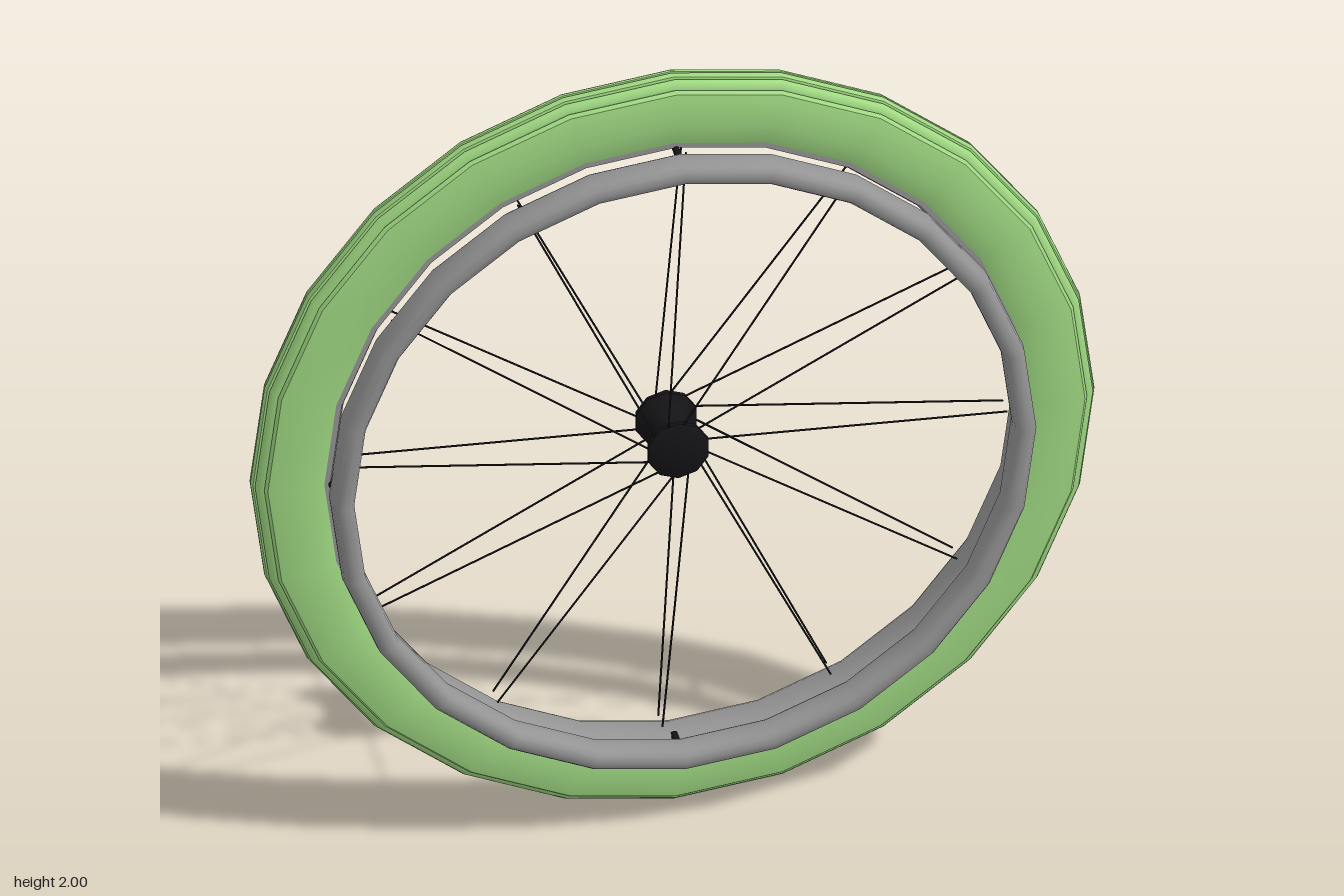
import * as THREE from 'three';
import { toCreasedNormals } from 'three/addons/utils/BufferGeometryUtils.js';

const SEGMENTS = 24;
const WHEEL_Z = -0.042; // middle plane of the tyre

const green = new THREE.MeshStandardMaterial({ color: 0x9fd882 });
const grey = new THREE.MeshStandardMaterial({ color: 0x949494 });
const black = new THREE.MeshStandardMaterial({ color: 0x141417 });

// Closed or open [radius, z] profile turned about the axle (z axis)
function turned(name, profile, material, z, segments = SEGMENTS, crease = 0.7) {
  const points = profile.map(([r, h]) => new THREE.Vector2(r, h));
  const geometry = new THREE.LatheGeometry(points, segments).rotateX(Math.PI / 2);
  const mesh = new THREE.Mesh(toCreasedNormals(geometry, crease), material);
  mesh.name = name;
  mesh.position.z = z;
  return mesh;
}

// Thin straight rod between two points
function rod(name, a, b, radius, sides) {
  const along = b.clone().sub(a);
  const mesh = new THREE.Mesh(new THREE.CylinderGeometry(radius, radius, along.length(), sides), black);
  mesh.name = name;
  mesh.position.copy(a).add(b).multiplyScalar(0.5);
  mesh.quaternion.setFromUnitVectors(new THREE.Vector3(0, 1, 0), along.normalize());
  return mesh;
}

const polar = (r, angle, z) => new THREE.Vector3(r * Math.cos(angle), r * Math.sin(angle), z);

// Tyre section: bulging walls and a rounded tread with shallow grooves
function tyreProfile() {
  const wall = [[0.828, 0.044], [0.85, 0.052], [0.885, 0.057], [0.92, 0.057], [0.95, 0.054], [0.968, 0.05]];
  const tread = [];
  const crown = (z) => 1 - 15 * z * z;
  for (let i = -2; i <= 2; i++) {
    const z = i * 0.019;
    tread.push([crown(z - 0.003), z - 0.003], [crown(z) - 0.006, z - 0.0015],
      [crown(z) - 0.006, z + 0.0015], [crown(z + 0.003), z + 0.003]);
    if (i < 2) tread.push([crown(z + 0.0095), z + 0.0095]);
  }
  return [...wall.map(([r, z]) => [r, -z]), ...tread, ...wall.slice().reverse(), wall[0].map((v, i) => (i ? -v : v))];
}

export function createModel() {
  const model = new THREE.Group();
  const wheel = new THREE.Group();
  wheel.name = 'wheel';
  wheel.position.y = 1;
  model.add(wheel);

  wheel.add(turned('tyre', tyreProfile(), green, WHEEL_Z));

  // Rim lining the inside of the tyre
  wheel.add(turned('rim', [[0.82, -0.046], [0.834, -0.046], [0.834, 0.046], [0.82, 0.046],
    [0.812, 0.03], [0.812, -0.03], [0.82, -0.046]], grey, WHEEL_Z));

  // Push ring in front of the wheel, with a rounded upright section
  const ring = [];
  for (let i = 0; i <= 12; i++) {
    const a = ((i % 12) / 12) * Math.PI * 2;
    const soft = (v, p) => Math.sign(v) * Math.abs(v) ** p;
    ring.push([0.808 + 0.027 * soft(Math.cos(a), 0.7), 0.043 * soft(Math.sin(a), 0.7)]);
  }
  wheel.add(turned('pushRing', ring, grey, 0.078, SEGMENTS, 1.2));

  // Four pins joining the push ring to the rim
  for (let i = 0; i < 4; i++) {
    const a = (i * Math.PI) / 2;
    wheel.add(rod('pushRingPin', polar(0.815, a, -0.02), polar(0.815, a, 0.06), 0.009, 8));
  }

  // Spool-shaped hub
  wheel.add(turned('hub', [[0, -0.08], [0.066, -0.08], [0.075, -0.074], [0.075, -0.062], [0.066, -0.056],
    [0.045, -0.035], [0.04, 0], [0.045, 0.035], [0.066, 0.056], [0.075, 0.062], [0.075, 0.074],
    [0.066, 0.08], [0, 0.08]], black, WHEEL_Z, 10));

  // Twelve slightly slanted spokes from each hub flange
  const spokes = new THREE.Group();
  spokes.name = 'spokes';
  for (const side of [1, -1]) {
    for (let i = 0; i < 12; i++) {
      const a = (i * Math.PI) / 6;
      spokes.add(rod('spoke', polar(0.062, a + 0.4, WHEEL_Z + side * 0.072),
        polar(0.79, a - 0.035, WHEEL_Z + side * 0.024), 0.0025, 5));
    }
  }
  wheel.add(spokes);
  return model;
}
